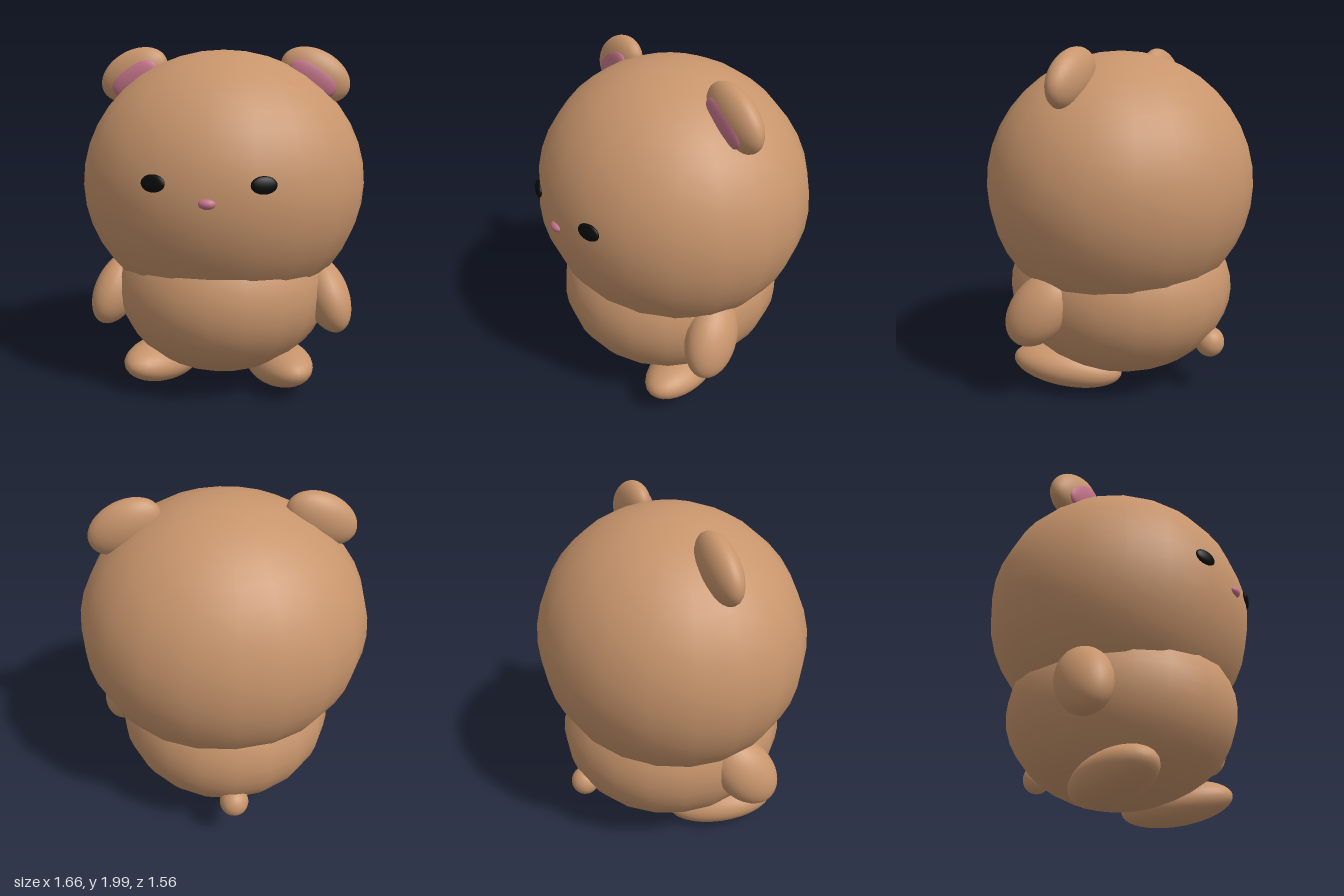
import * as THREE from 'three';

export function createModel() {
  const model = new THREE.Group();
  model.name = 'bear';

  const fur = new THREE.MeshStandardMaterial({ color: 0xc8956c });
  const pink = new THREE.MeshStandardMaterial({ color: 0xc4748a });
  const black = new THREE.MeshStandardMaterial({ color: 0x0a0a0a });

  const coarse = new THREE.SphereGeometry(1, 20, 20);
  const fine = new THREE.SphereGeometry(1, 28, 20);

  // Every part is a stretched, turned sphere
  function blob(name, material, position, radii, rotation = [0, 0, 0], geometry = fine) {
    const mesh = new THREE.Mesh(geometry, material);
    mesh.name = name;
    mesh.position.set(...position);
    mesh.scale.set(...radii);
    mesh.rotation.set(...rotation, 'YXZ');
    model.add(mesh);
    return mesh;
  }

  // Left part plus its mirror image on the right
  function pair(name, material, [x, y, z], radii, [rx, ry, rz] = [0, 0, 0]) {
    blob('left' + name, material, [x, y, z], radii, [rx, ry, rz]);
    blob('right' + name, material, [-x, y, z], radii, [rx, -ry, -rz]);
  }

  // Head and body
  blob('head', fur, [0, 1.215, -0.01], [0.83, 0.768, 0.77], [0, 0, 0], coarse);
  blob('body', fur, [0, 0.6, -0.005], [0.645, 0.53, 0.678], [0, 0, 0], coarse);

  // Ears with pink inner patches
  pair('Ear', fur, [0.53, 1.84, -0.01], [0.214, 0.14, 0.09], [0, 0, -0.49]);
  pair('InnerEar', pink, [0.515, 1.82, 0.053], [0.15, 0.09, 0.033], [0, 0, -0.55]);

  // Face
  pair('Eye', black, [0.28, 1.307, 0.708], [0.069, 0.046, 0.02], [-0.12, 0.33, 0]);
  blob('nose', pink, [0, 1.214, 0.75], [0.045, 0.028, 0.03]);

  // Arms hang outward and forward
  pair('Arm', fur, [0.622, 0.582, 0.16], [0.13, 0.235, 0.164], [-0.6, 0, 0.35]);

  // Feet splay outward with raised toes
  pair('Foot', fur, [0.35, 0.145, 0.16], [0.175, 0.124, 0.328], [-0.14, 0.4, 0.12]);

  // Tail
  blob('tail', fur, [0, 0.32, -0.605], [0.085, 0.088, 0.085]);

  return model;
}
